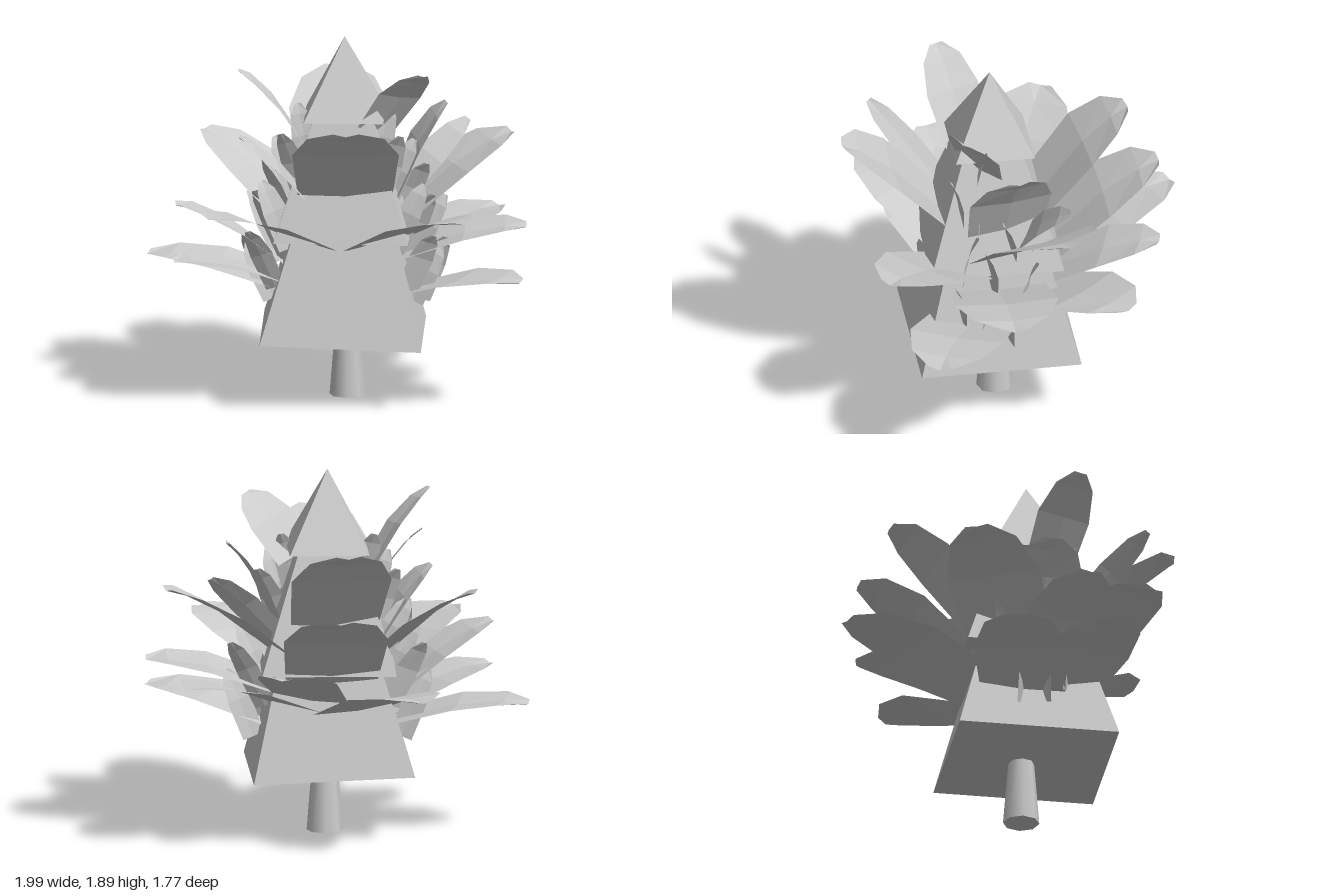
import * as THREE from 'three';

const flat = new THREE.MeshStandardMaterial({ color: 0xcccccc, flatShading: true, side: THREE.DoubleSide });
const smooth = new THREE.MeshStandardMaterial({ color: 0xcccccc });
const CX = 0.05, CZ = 0.11;

// Four-sided tier; half is half the side length at the bottom / top
function tier(name, y0, y1, half0, half1, turn, tilt = 0) {
  const g = new THREE.CylinderGeometry(half1 * Math.SQRT2, half0 * Math.SQRT2, y1 - y0, 4);
  g.rotateY(Math.PI / 4 + turn);
  const m = new THREE.Mesh(g, flat);
  m.name = name;
  m.position.set(CX, (y0 + y1) / 2, CZ);
  m.rotation.z = tilt;
  return m;
}

// Folded leaf: cross-sections [along, half width, lift], bent once between base and tip
const SECTIONS = [[0, 0.44, 0], [0.55, 0.5, 0.06], [0.85, 0.36, 0.04], [1, 0.12, 0]];

function leaf(name, base, tip, width, roll = 0) {
  const a = new THREE.Vector3(...base), b = new THREE.Vector3(...tip);
  const dir = b.clone().sub(a), length = dir.length();
  const unit = dir.clone().normalize();
  const side = new THREE.Vector3(unit.z, 0, -unit.x).normalize().applyAxisAngle(unit, roll);
  const up = unit.clone().cross(side).normalize();
  const pos = [], index = [];
  SECTIONS.forEach(([t, half, lift], i) => {
    for (const s of [-1, 0, 1]) {
      const p = a.clone().addScaledVector(dir, t)
        .addScaledVector(side, s * half * width)
        .addScaledVector(up, lift * length - (s === 0 ? 0.03 * width : 0));
      pos.push(p.x, p.y, p.z);
    }
    if (i === 0) return;
    for (let k = 0; k < 2; k++) {
      const p = (i - 1) * 3 + k, q = p + 3;
      index.push(p, p + 1, q + 1, p, q + 1, q);
    }
  });
  const g = new THREE.BufferGeometry();
  g.setAttribute('position', new THREE.Float32BufferAttribute(pos, 3));
  g.setIndex(index);
  g.computeVertexNormals();
  const m = new THREE.Mesh(g, flat);
  m.name = name;
  return m;
}

// [tip x, tip y, tip z, base y, base radius, width, roll]
const UPPER = [
  [0.13, 1.55, 0.87, 1.1, 0.24, 0.55, 0],
  [-0.06, 1.58, -0.6, 1.13, 0.25, 0.52, 0],
  [-0.47, 1.75, 0.34, 1.32, 0.2, 0.28, -0.2],
  [0.47, 1.73, 0.28, 1.42, 0.18, 0.32, -0.35],
  [0.56, 1.53, 0.0, 1.05, 0.24, 0.44, 0],
  [-0.48, 1.37, 0.2, 1.0, 0.24, 0.4, 0],
  [-0.43, 1.45, 0.69, 1.05, 0.24, 0.14, -0.7],
  [0.65, 1.39, -0.25, 0.98, 0.24, 0.16, 0.8],
];
const MIDDLE = [
  [0.87, 1.34, -0.24, 0.93, 0.24, 0.58, 0],
  [-0.7, 1.32, -0.22, 0.9, 0.24, 0.5, 0],
  [-0.02, 1.27, -0.76, 0.84, 0.28, 0.54, 0],
  [0.71, 1.06, 0.68, 0.83, 0.22, 0.5, 0],
  [-0.59, 1.06, 0.71, 0.83, 0.22, 0.5, 0],
  [-0.79, 1.05, 0.36, 0.66, 0.24, 0.46, 0],
];
const LOWER = [
  [0.98, 0.91, 0.06, 0.75, 0.24, 0.54, 0],
  [0.98, 0.7, 0.45, 0.56, 0.24, 0.5, 0],
  [0.78, 0.88, -0.54, 0.68, 0.24, 0.5, 0],
  [0.28, 0.97, -0.74, 0.72, 0.26, 0.42, 0],
  [-0.44, 0.88, -0.86, 0.66, 0.24, 0.48, 0],
  [-0.98, 0.7, -0.04, 0.57, 0.24, 0.48, 0],
  [-0.78, 0.79, 0.54, 0.6, 0.24, 0.46, 0],
];

function whorl(name, rows) {
  const group = new THREE.Group();
  group.name = name;
  rows.forEach(([x, y, z, baseY, radius, width, roll], i) => {
    const angle = Math.atan2(z - CZ, x - CX);
    const base = [CX + Math.cos(angle) * radius, baseY, CZ + Math.sin(angle) * radius];
    group.add(leaf(`${name}${i + 1}`, base, [x, y, z], width, roll));
  });
  return group;
}

// Small steep leaves hugging both sides of the crown: [base y, tip y, z, base reach, tip reach]
const SHOOTS = [
  [0.5, 0.84, 0.04, 0.38, 0.52],
  [0.52, 0.8, 0.18, 0.36, 0.5],
  [0.6, 0.9, 0.28, 0.34, 0.48],
  [0.68, 1.02, -0.04, 0.32, 0.5],
  [0.72, 1.08, 0.12, 0.29, 0.46],
  [0.8, 1.14, 0.26, 0.27, 0.42],
  [0.9, 1.22, 0.02, 0.25, 0.42],
  [1.0, 1.36, 0.18, 0.21, 0.36],
  [1.05, 1.42, 0.28, 0.19, 0.31],
  [1.18, 1.54, 0.2, 0.16, 0.24],
];

export function createModel() {
  const model = new THREE.Group();
  model.name = 'tree';

  // Tapered trunk
  const trunk = new THREE.Mesh(new THREE.CylinderGeometry(0.06, 0.094, 0.42, 8), smooth);
  trunk.name = 'trunk';
  trunk.position.set(0.063, 0.21, 0.086);
  model.add(trunk);

  // Stacked crown
  model.add(
    tier('lowerCrown', 0.335, 0.95, 0.415, 0.25, 0.065, -0.035),
    tier('middleCrown', 0.87, 1.52, 0.345, 0.14, 0.03),
    tier('crownTop', 1.475, 1.89, 0.205, 0, 0.06)
  );

  // Broad leaves around the crown
  model.add(whorl('upperLeaf', UPPER), whorl('middleLeaf', MIDDLE), whorl('lowerLeaf', LOWER));

  // Side shoots, mirrored about the crown axis
  for (const s of [-1, 1]) {
    SHOOTS.forEach(([y0, y1, z, r0, r1], i) => {
      const roll = i % 2 ? 0.9 : -0.9;
      model.add(leaf(s > 0 ? 'leftShoot' : 'rightShoot',
        [CX + s * r0, y0, z], [CX + s * r1, y1, z - roll * 0.06], 0.13, s * roll));
    });
  }
  return model;
}
